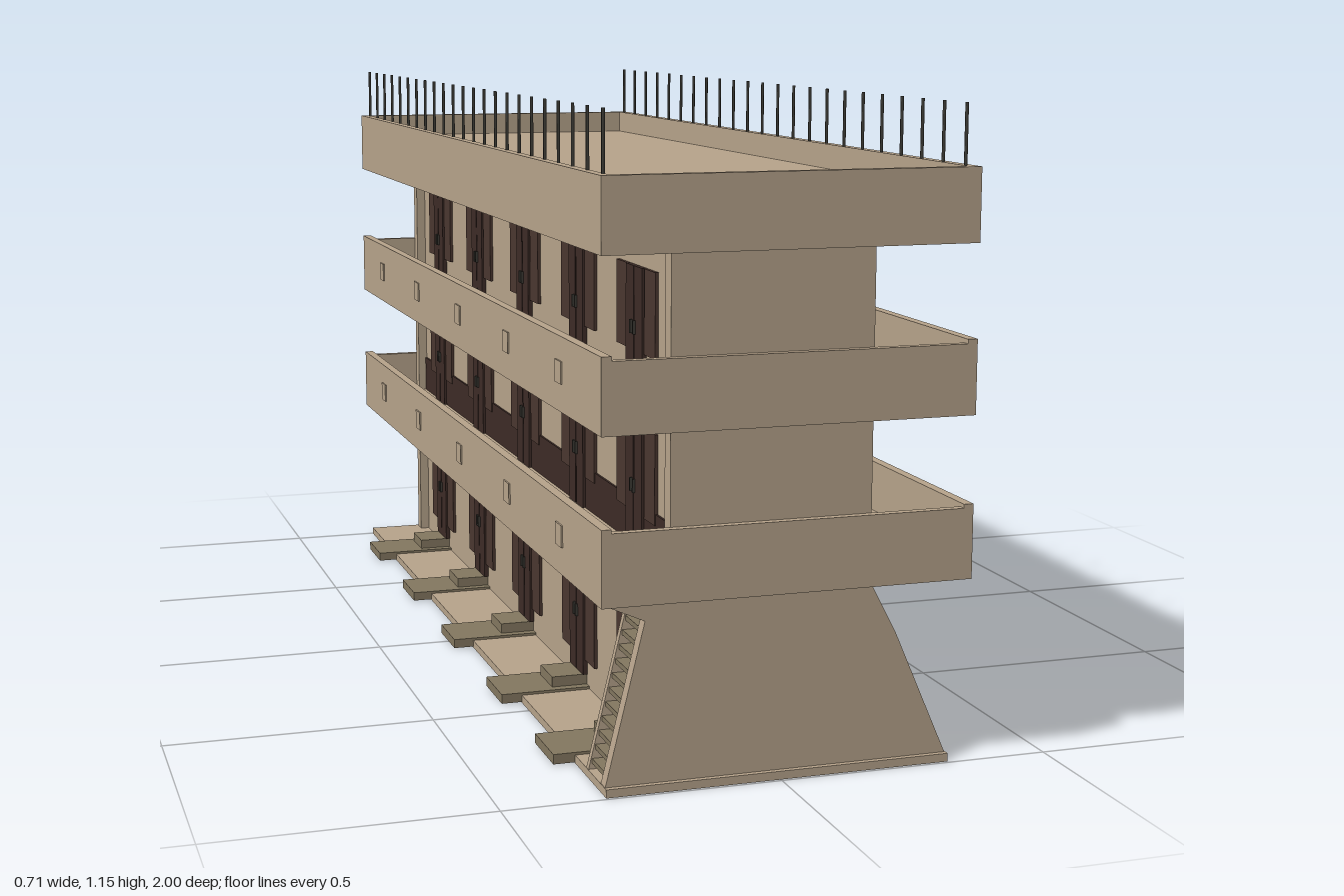
import * as THREE from 'three';

const material = (name, color) => {
  const m = new THREE.MeshStandardMaterial({ color });
  m.name = name;
  return m;
};

export function createModel() {
  const concrete = material('concrete', 0xb5a28a);
  const stone = material('weathered stone', 0x82765f);
  const frameBrown = material('window brown', 0x4a362f);
  const doorBrown = material('door brown', 0x3c2b26);
  const metal = material('dark metal', 0x3b3a34);

  const model = new THREE.Group();
  model.name = 'building';

  const group = (name) => {
    const g = new THREE.Group();
    g.name = name;
    model.add(g);
    return g;
  };

  // Box given by its limits on each axis (in either order)
  const box = (parent, name, mat, x0, x1, y0, y1, z0, z1) => {
    const geo = new THREE.BoxGeometry(Math.abs(x1 - x0), Math.abs(y1 - y0), Math.abs(z1 - z0));
    const mesh = new THREE.Mesh(geo, mat);
    mesh.position.set((x0 + x1) / 2, (y0 + y1) / 2, (z0 + z1) / 2);
    mesh.name = name;
    parent.add(mesh);
    return mesh;
  };

  // Outline in x and y, extruded from z0 to z1
  const slab = (parent, name, mat, points, z0, z1) => {
    const shape = new THREE.Shape(points.map(([x, y]) => new THREE.Vector2(x, y)));
    const geo = new THREE.ExtrudeGeometry(shape, { depth: z1 - z0, bevelEnabled: false });
    const mesh = new THREE.Mesh(geo, mat);
    mesh.position.z = z0;
    mesh.name = name;
    parent.add(mesh);
    return mesh;
  };

  const LEFT = 0.35, RIGHT = -0.325;
  const bays = [0.75, 0.39, 0, -0.39, -0.77];
  const sides = [
    { s: 1, wall: 0.145, fin: 0.165, edge: LEFT, pad: 0.345 },
    { s: -1, wall: -0.18, fin: -0.2, edge: RIGHT, pad: -0.355 },
  ];

  // Ground plate and main body
  box(model, 'groundPlate', concrete, -0.315, 0.315, 0, 0.015, -0.995, 0.995);
  box(model, 'mainBody', concrete, -0.18, 0.145, 0.01, 0.95, -0.965, 0.965);

  // End walls, the front one splayed at the ground
  const ends = group('endWalls');
  box(ends, 'backEndWall', concrete, -0.2, 0.165, 0.01, 0.95, -0.985, -0.955);
  box(ends, 'frontEndWall', concrete, -0.2, 0.165, 0.33, 0.95, 0.955, 0.985);
  slab(ends, 'splayedFrontWall', concrete,
    [[-0.315, 0.01], [0.315, 0.01], [0.215, 0.24], [0.165, 0.335], [-0.235, 0.335]], 0.96, 0.985);
  slab(ends, 'frontGusset', concrete, [[-0.325, 0.335], [-0.242, 0.298], [-0.232, 0.335]], 0.88, 0.985);

  // Balconies and roof: shallow trays with parapets, ribs beneath
  const tray = (name, y0, floor, yEnd, ySide) => {
    const g = group(name);
    box(g, 'floor', concrete, RIGHT + 0.01, LEFT - 0.01, y0 + 0.015, floor, -0.99, 0.99);
    for (const { s, edge, wall } of sides) {
      box(g, 'sideParapet', concrete, edge - s * 0.018, edge, y0, ySide, -1, 1);
      box(g, 'endParapet', concrete, RIGHT + 0.018, LEFT - 0.018, y0, yEnd, s * 0.984, s);
      for (let i = 0; i <= 14; i++) {
        const z = -0.93 + (i * 1.86) / 14;
        box(g, 'rib', concrete, wall, edge - s * 0.018, y0 + 0.002, y0 + 0.016, z - 0.006, z + 0.006);
      }
      for (const z of bays) {
        box(g, 'ceilingLamp', metal, wall + s * 0.02, wall + s * 0.06, y0 - 0.008, y0 + 0.016, z - 0.025, z + 0.025);
      }
    }
    return g;
  };
  const trays = [
    tray('lowerBalcony', 0.33, 0.37, 0.457, 0.464),
    tray('upperBalcony', 0.62, 0.655, 0.745, 0.753),
  ];
  tray('roof', 0.918, 1.0, 1.048, 1.048);

  // Small drain plates on the balcony parapets
  trays.forEach((g, i) => {
    const y = i ? 0.69 : 0.4;
    for (const { s, edge } of sides) {
      for (const z of bays) {
        box(g, 'drainPlate', concrete, edge, edge + s * 0.003, y - 0.02, y + 0.02, z - 0.02, z + 0.02);
      }
    }
  });

  // Each bay: a double door between two side windows
  const bay = (parent, side, z, y0, sill, top) => {
    const { s, wall } = side;
    for (const k of [-1, 1]) {
      box(parent, 'sideWindow', frameBrown, wall, wall + s * 0.006, sill, top, z + k * 0.05, z + k * 0.11);
      box(parent, 'doorLeaf', doorBrown, wall, wall + s * 0.009, y0, top, z + k * 0.002, z + k * 0.046);
      box(parent, 'doorHandle', metal, wall, wall + s * 0.014,
        (y0 + top) / 2 - 0.012, (y0 + top) / 2 + 0.012, z + k * 0.006, z + k * 0.01);
    }
  };
  const openings = group('doorsAndWindows');
  for (const side of sides) {
    for (const z of bays) {
      bay(openings, side, z, 0.04, 0.07, 0.28);
      bay(openings, side, z, 0.37, 0.43, 0.59);
      bay(openings, side, z, 0.655, 0.72, 0.87);
    }
    // Dark base band behind the lower balcony
    box(openings, 'baseBand', doorBrown, side.wall, side.wall + side.s * 0.004, 0.37, 0.45, -0.95, 0.95);
  }

  // Entrance steps
  const entrances = group('entranceSteps');
  for (const { s, wall, pad } of sides) {
    for (const z of bays) {
      box(entrances, 'lowerStep', stone, wall, pad, 0.002, 0.02, z - 0.06, z + 0.06);
      box(entrances, 'upperStep', stone, wall, wall + s * 0.07, 0.02, 0.04, z - 0.042, z + 0.042);
    }
  }

  // Steep outer stairs at the front corners
  const stairs = group('cornerStairs');
  const treads = 12;
  for (const { s, wall } of sides) {
    const foot = s * 0.315, head = s > 0 ? 0.17 : -0.237;
    const at = (t) => foot + (head - foot) * t;
    const stringer = [[foot, 0.01], [head, 0.335], [head - s * 0.03, 0.335], [foot - s * 0.03, 0.01]];
    slab(stairs, 'innerStringer', concrete, stringer, 0.875, 0.888);
    const backing = stringer.map(([x, y]) => [x - s * 0.03, y]);
    slab(stairs, 'stairBacking', stone, backing, 0.885, 0.962);
    for (let i = 0; i < treads; i++) {
      const y = 0.025 + (i * 0.3) / treads;
      const x = at((y - 0.01) / 0.325);
      box(stairs, 'tread', stone, x - s * 0.004, x - s * 0.04, y, y + 0.009, 0.886, 0.962);
    }
  }

  // Thin posts along both roof edges
  const posts = group('roofPosts');
  const postGeo = new THREE.CylinderGeometry(0.003, 0.003, 0.115, 6);
  for (const x of [-0.311, 0.336]) {
    for (let i = 0; i < 23; i++) {
      const post = new THREE.Mesh(postGeo, metal);
      post.name = 'roofPost';
      post.position.set(x, 1.0975, 0.965 - i * 0.0875);
      posts.add(post);
    }
  }

  return model;
}
